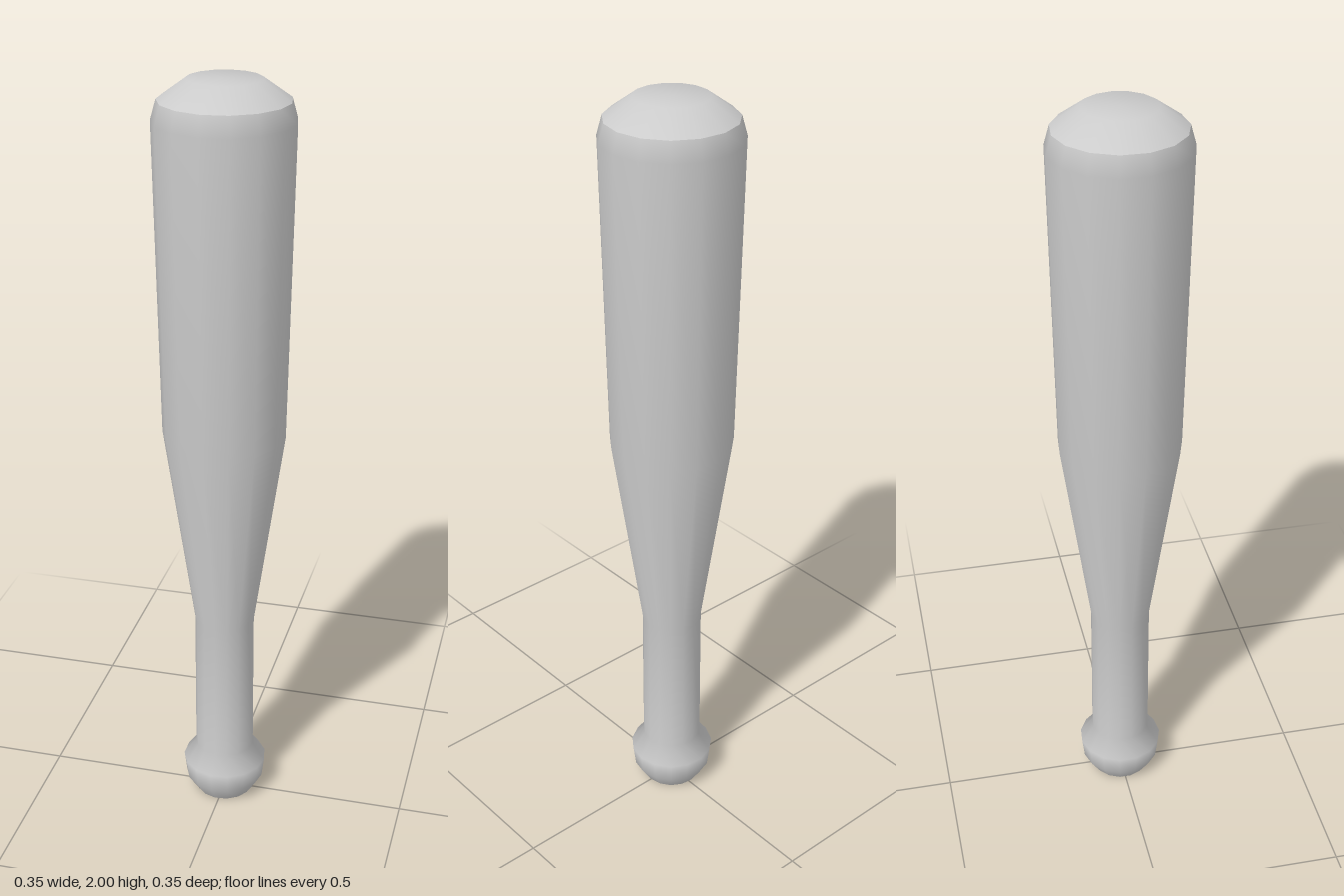
import * as THREE from 'three';

const SIDES = 15;

export function createModel() {
  const bat = new THREE.Group();
  bat.name = 'bat';
  const material = new THREE.MeshStandardMaterial({ color: 0xcccccc });

  // Revolves [radius, height] points, with one corner of the polygon on +x
  function turned(name, profile) {
    const points = profile.map(([r, y]) => new THREE.Vector2(r, y));
    const mesh = new THREE.Mesh(new THREE.LatheGeometry(points, SIDES, Math.PI / 2), material);
    mesh.name = name;
    mesh.position.x = -0.002; // an odd number of sides sits slightly off centre
    bat.add(mesh);
  }

  // Flat underside of the knob
  turned('knobBase', [[0, 0], [0.078, 0]]);

  // Knob, straight grip, taper and barrel in one smooth skin
  turned('body', [
    [0.078, 0], [0.107, 0.045], [0.114, 0.1], [0.08, 0.148],
    [0.08, 0.55], [0.16, 1.1], [0.176, 1.9], [0.162, 1.95],
  ]);

  // Domed end with a sharp rim
  turned('crown', [[0.162, 1.95], [0.092, 2], [0, 2]]);

  return bat;
}
